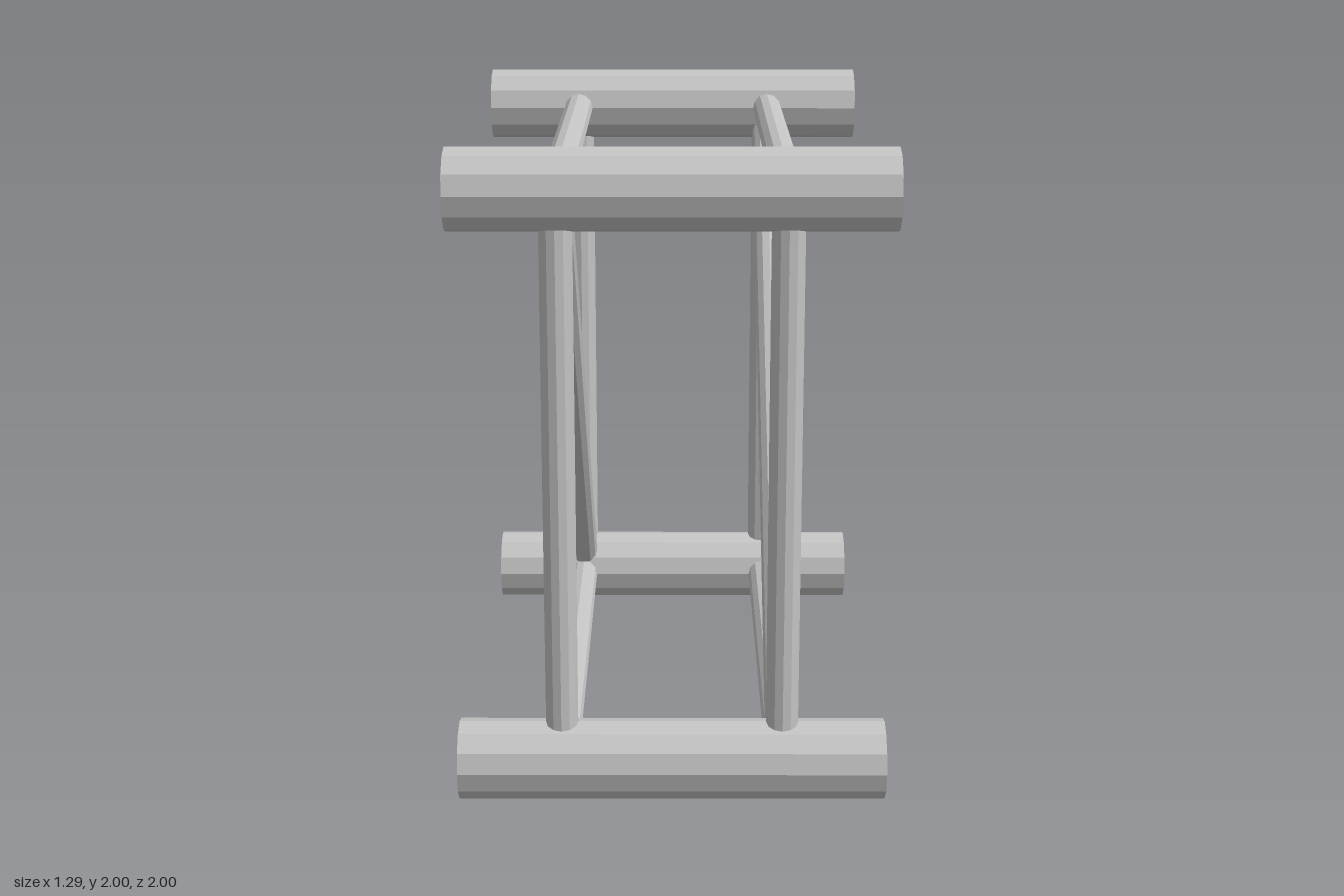
import * as THREE from 'three';

export function createModel() {
  const model = new THREE.Group();
  model.name = 'trussSegment';

  const metal = new THREE.MeshStandardMaterial({ color: 0xc4c4c4, side: THREE.DoubleSide, flatShading: true });
  metal.name = 'grey metal';

  const CHORD_R = 0.122, BRACE_R = 0.049;
  const HALF_LENGTH = 0.646;   // half length of the main tubes
  const BRACE_X = 0.334;       // x of the two braced frames
  const H = 0.878;             // half spacing between main tube axes
  const UP = new THREE.Vector3(0, 1, 0);

  // Open twelve-sided tube between two points
  function tube(name, a, b, radius) {
    const start = new THREE.Vector3(...a), end = new THREE.Vector3(...b);
    const dir = end.clone().sub(start);
    const mesh = new THREE.Mesh(
      new THREE.CylinderGeometry(radius, radius, dir.length(), 12, 1, true), metal);
    mesh.name = name;
    mesh.position.copy(start).add(end).multiplyScalar(0.5);
    mesh.quaternion.setFromUnitVectors(UP, dir.normalize());
    model.add(mesh);
  }

  const low = 1 - H, high = 1 + H;

  // Four main tubes along x
  for (const y of [low, high])
    for (const z of [-H, H])
      tube('mainTube', [-HALF_LENGTH, y, z], [HALF_LENGTH, y, z], CHORD_R);

  // Two square frames, each with one diagonal; the diagonals cross
  for (const side of [-1, 1]) {
    const x = side * BRACE_X;
    for (const z of [-H, H]) tube('upright', [x, low, z], [x, high, z], BRACE_R);
    for (const y of [low, high]) tube('crossbar', [x, y, -H], [x, y, H], BRACE_R);
    tube('diagonalBrace', [x, low, side * H], [x, high, -side * H], BRACE_R);
  }

  return model;
}
